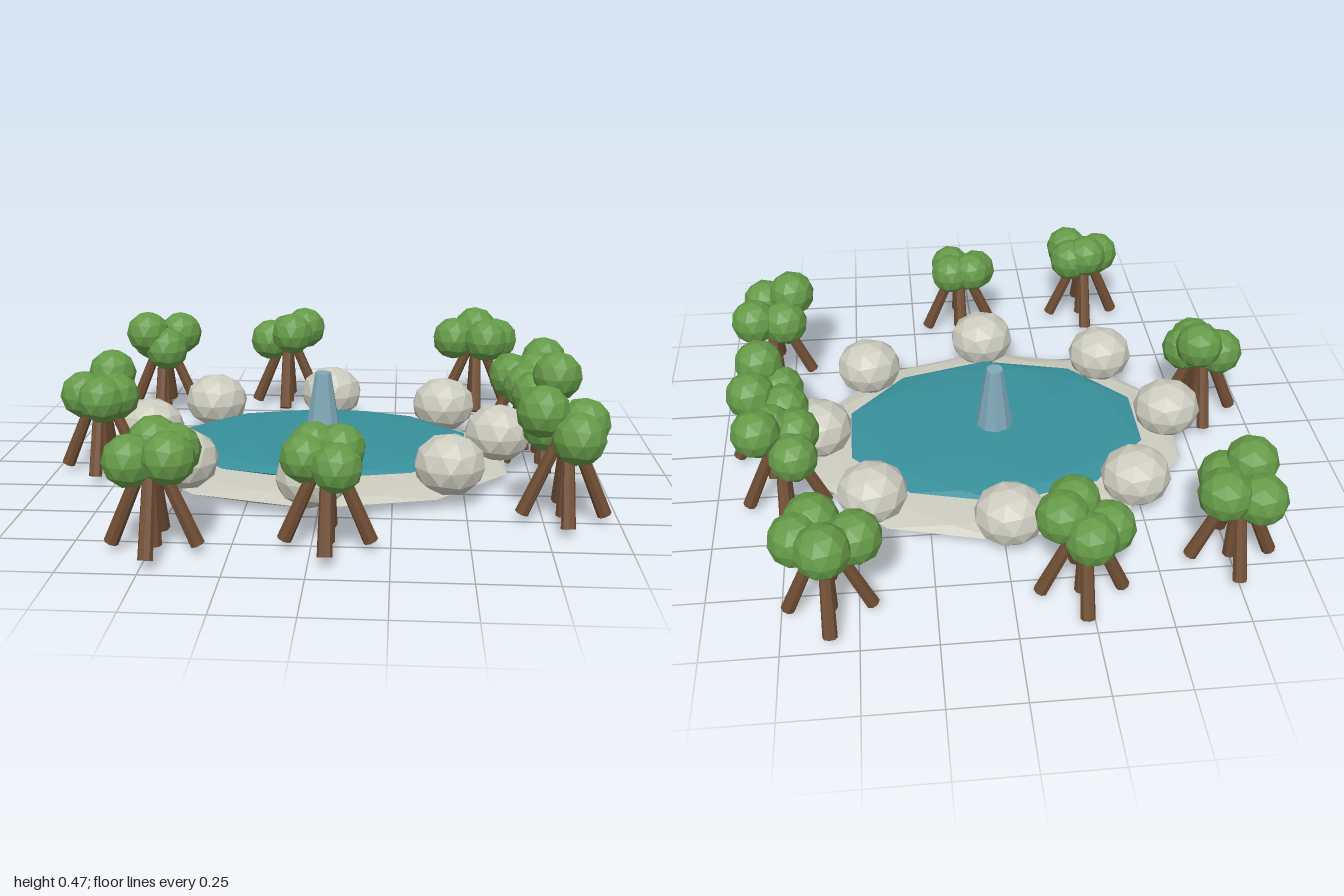
import * as THREE from 'three';

function flat(name, color) {
  const m = new THREE.MeshStandardMaterial({ color, flatShading: true });
  m.name = name;
  return m;
}

export function createModel() {
  const group = new THREE.Group();
  const stone = flat('stone', 0xcbcbbe);
  const water = flat('water', 0x38909b);
  const spray = flat('fountain blue', 0x80a8b8);
  const bark = flat('bark', 0x704e34);
  const leaf = flat('leaf', 0x659a48);

  // faceted ball with one corner at the top and a ten-sided equator
  const ballGeo = new THREE.IcosahedronGeometry(1, 1);
  ballGeo.rotateX(-Math.atan((1 + Math.sqrt(5)) / 2));
  ballGeo.rotateY(Math.PI / 2);

  function ball(parent, name, mat, pos, rx, ry = rx, rz = rx) {
    const m = new THREE.Mesh(ballGeo, mat);
    m.name = name;
    m.position.set(...pos);
    m.scale.set(rx, ry, rz);
    parent.add(m);
  }

  // pond: squashed basin, water and central jet
  const cx = -0.016, cz = -0.04;
  ball(group, 'basin', stone, [cx, 0.04, cz], 0.71, 0.04, 0.565);
  ball(group, 'water', water, [cx, 0.095, cz], 0.56, 0.028, 0.425);
  const jet = new THREE.Mesh(new THREE.CylinderGeometry(0.03, 0.074, 0.27, 10), spray);
  jet.name = 'fountainJet';
  jet.position.set(cx, 0.225, cz);
  group.add(jet);

  // eight boulders around the rim
  for (let i = 0; i < 8; i++) {
    const a = (i * Math.PI) / 4;
    ball(group, 'boulder', stone,
      [cx + 0.65 * Math.cos(a), 0.14, cz + 0.53 * Math.sin(a)], 0.125, 0.108, 0.117);
  }

  // trees: centre x, z, crown radius, then crown balls as [dx, y, dz]
  const trees = [
    [-0.744, -0.712, 0.09, [[-0.058, 0.31, -0.053], [0.063, 0.34, -0.053], [0.026, 0.3, 0.079], [-0.053, 0.365, 0.069]]],
    [-0.222, -0.829, 0.088, [[-0.074, 0.3, -0.005], [0.074, 0.355, -0.005], [-0.01, 0.31, -0.065], [0.026, 0.345, 0.074]]],
    [0.591, -0.829, 0.09, [[0, 0.35, -0.08], [0.084, 0.32, 0.01], [-0.095, 0.32, 0.005], [0.037, 0.33, 0.084]]],
    [0.744, -0.317, 0.086, [[-0.042, 0.28, -0.058], [0.079, 0.355, -0.01], [0.042, 0.32, 0.063], [-0.047, 0.3, 0.058]]],
    [0.797, -0.042, 0.088, [[-0.058, 0.3, -0.074], [0.058, 0.345, -0.053], [0.032, 0.385, 0.084], [-0.037, 0.3, 0.037]]],
    [0.813, 0.496, 0.088, [[-0.053, 0.31, -0.074], [0.063, 0.32, -0.074], [-0.084, 0.385, 0.016], [0.026, 0.315, 0.079]]],
    [0.053, 0.77, 0.08, [[-0.047, 0.32, -0.053], [0.037, 0.315, -0.053], [-0.07, 0.3, 0], [0.032, 0.29, 0.063]]],
    [-0.48, 0.829, 0.085, [[0, 0.34, -0.063], [0.063, 0.32, -0.053], [-0.063, 0.305, 0.02], [0.063, 0.325, 0.047]]],
    [-0.818, 0.095, 0.087, [[0.032, 0.365, -0.063], [-0.063, 0.295, -0.01], [0.021, 0.3, 0.069], [0.06, 0.3, 0.02]]],
  ];

  const legGeo = new THREE.CylinderGeometry(0.02, 0.024, 0.27, 8);
  const trunkGeo = new THREE.CylinderGeometry(0.02, 0.024, 0.25, 8);
  for (const [x, z, r, crown] of trees) {
    const tree = new THREE.Group();
    tree.name = 'tree';
    tree.position.set(x, 0, z);

    const trunk = new THREE.Mesh(trunkGeo, bark);
    trunk.name = 'trunk';
    trunk.position.y = 0.15;
    tree.add(trunk);

    // four splayed legs leaning in toward the crown
    for (let i = 0; i < 4; i++) {
      const pivot = new THREE.Group();
      pivot.name = 'trunkLeg';
      pivot.rotation.y = (i * Math.PI) / 2;
      const leg = new THREE.Mesh(legGeo, bark);
      leg.name = 'leg';
      leg.position.set(0.083, 0.155, 0);
      leg.rotation.z = 0.4;
      pivot.add(leg);
      tree.add(pivot);
    }

    for (const p of crown) ball(tree, 'foliage', leaf, p, r);
    group.add(tree);
  }

  return group;
}
